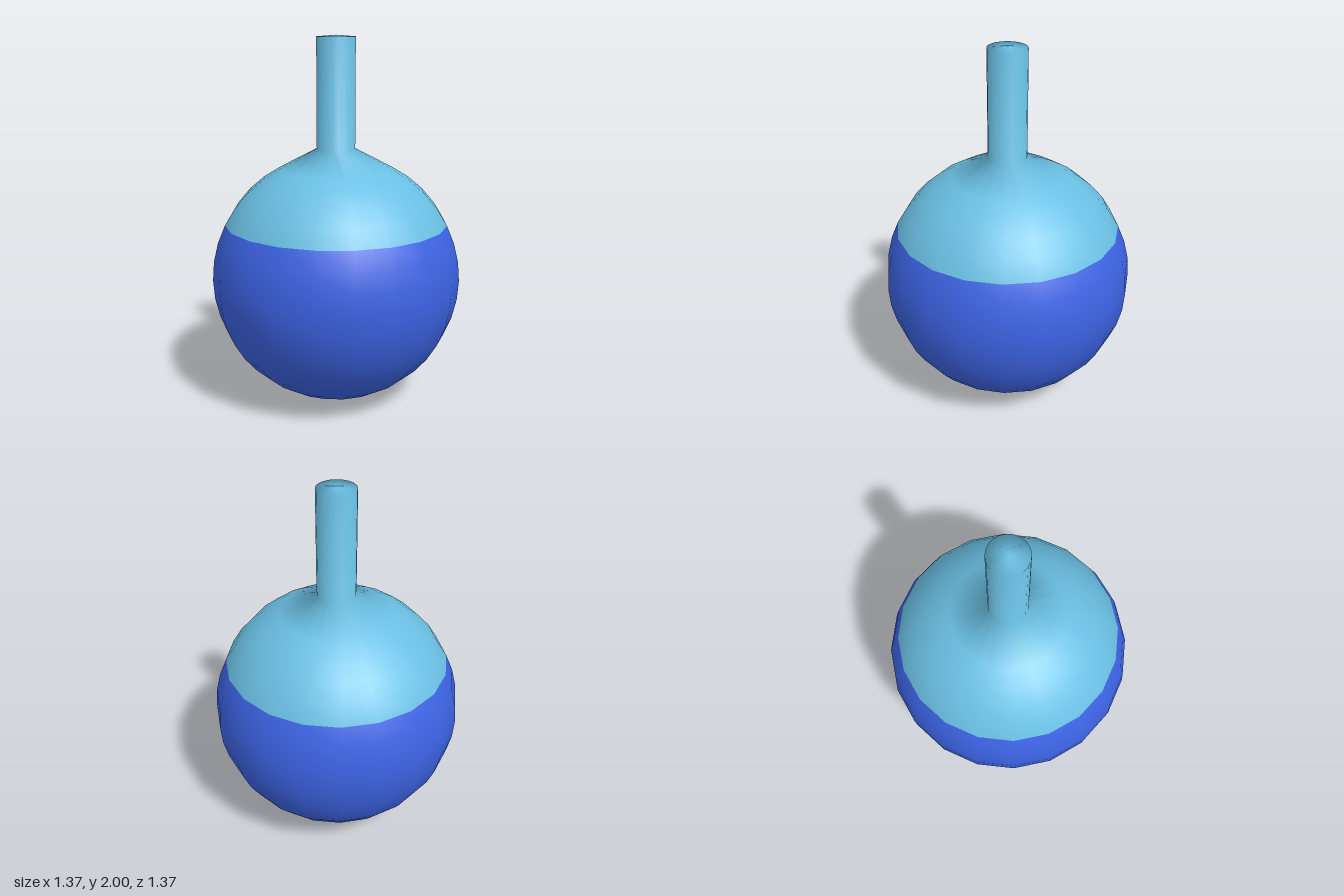
import * as THREE from 'three';

const SIDES = 20;
const RADIUS = 0.683;
const NECK_RADIUS = 0.105;
const STEP = 9;          // degrees between rings of the bulb
const LIQUID_TOP = 27;   // latitude of the liquid surface
const SHOULDER = 63;     // latitude where the bulb turns into the neck

export function createModel() {
  const glass = new THREE.MeshStandardMaterial({ color: 0x6abfe3 });
  glass.name = 'pale blue';
  const liquid = new THREE.MeshStandardMaterial({ color: 0x3c63e3 });
  liquid.name = 'royal blue';

  // Bulb rings from the bottom pole to the shoulder, then the neck and its shallow domed end
  const profile = [];
  for (let lat = -90; lat <= SHOULDER; lat += STEP) {
    const a = THREE.MathUtils.degToRad(lat);
    profile.push(new THREE.Vector2(Math.max(0, RADIUS * Math.cos(a)), RADIUS * (1 + Math.sin(a))));
  }
  profile.push(
    new THREE.Vector2(NECK_RADIUS, 1.4),
    new THREE.Vector2(NECK_RADIUS, 1.992),
    new THREE.Vector2(0, 2),
  );
  const flask = new THREE.LatheGeometry(profile, SIDES);
  const split = (LIQUID_TOP + 90) / STEP;
  const shoulder = (SHOULDER + 90) / STEP;

  // Takes the rows [from, to) of the flask, keeping its smooth normals across the joins
  const band = (name, material, from, to) => {
    const index = [];
    const rows = profile.length - 1;
    for (let side = 0; side < SIDES; side++) {
      for (let row = from; row < to; row++) {
        const start = (side * rows + row) * 6;
        for (let k = 0; k < 6; k++) index.push(flask.index.getX(start + k));
      }
    }
    const geometry = flask.clone().setIndex(index);
    const mesh = new THREE.Mesh(geometry, material);
    mesh.name = name;
    return mesh;
  };

  const group = new THREE.Group();
  group.name = 'flask';
  group.add(
    band('liquid', liquid, 0, split),
    band('upperBulb', glass, split, shoulder + 1),
    band('neck', glass, shoulder + 1, profile.length - 1),
  );
  return group;
}
